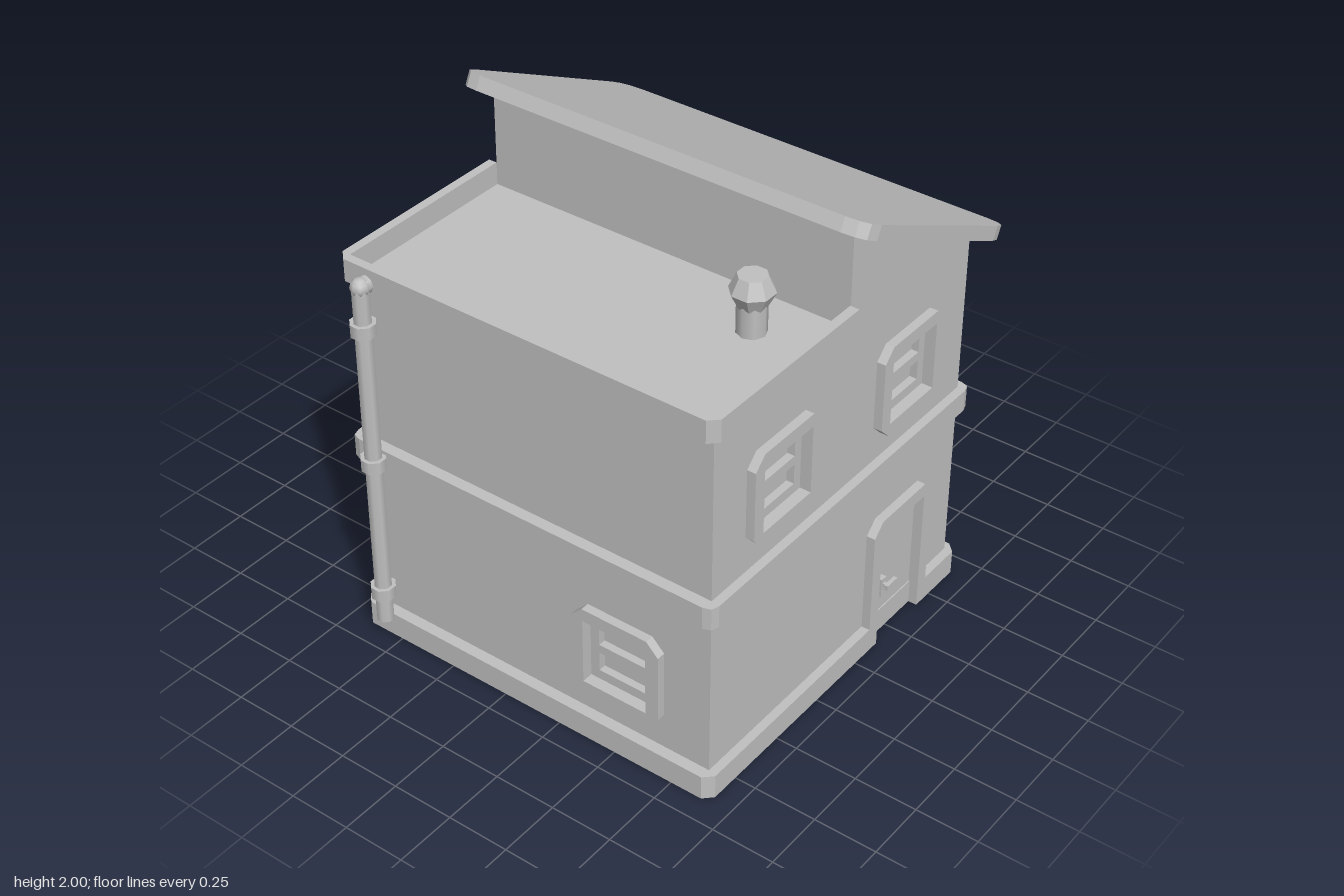
import * as THREE from 'three';

const stone = new THREE.MeshStandardMaterial({ color: 0xc0c0c0 });
stone.name = 'plain grey';

function add(parent, name, geometry, x = 0, y = 0, z = 0) {
  const mesh = new THREE.Mesh(geometry, stone);
  mesh.name = name;
  mesh.position.set(x, y, z);
  parent.add(mesh);
  return mesh;
}

const poly = (points) => new THREE.Shape(points.map(([x, y]) => new THREE.Vector2(x, y)));
const rect = (x0, x1, y0, y1) => poly([[x0, y0], [x1, y0], [x1, y1], [x0, y1]]);

// Rectangle with rounded corners
function rounded(x0, x1, y0, y1, r) {
  const s = new THREE.Shape();
  s.moveTo(x0 + r, y0);
  s.lineTo(x1 - r, y0).quadraticCurveTo(x1, y0, x1, y0 + r);
  s.lineTo(x1, y1 - r).quadraticCurveTo(x1, y1, x1 - r, y1);
  s.lineTo(x0 + r, y1).quadraticCurveTo(x0, y1, x0, y1 - r);
  s.lineTo(x0, y0 + r).quadraticCurveTo(x0, y0, x0 + r, y0);
  return s;
}

function extrude(shape, depth, holes = [], curveSegments = 2) {
  shape.holes.push(...holes);
  return new THREE.ExtrudeGeometry(shape, { depth, bevelEnabled: false, curveSegments });
}

// Horizontal slab: the shape is drawn in (x, -z)
const slab = (shape, height, holes, segs) => extrude(shape, height, holes, segs).rotateX(-Math.PI / 2);

const WIN = 0.1375, FRAME = 0.19, CX = [-0.485, 0.278];
const winHole = (x, y) => rect(x - WIN, x + WIN, y - WIN, y + WIN);
const doorHole = (x) => rect(x - WIN, x + WIN, 0.01, 0.52);

// Window facing +z, with its wall plane at z = 0
function makeWindow(name) {
  const g = new THREE.Group();
  g.name = name;
  const c = 0.05, f = FRAME;
  const outer = poly([[-f + c, -f], [f - c, -f], [f, -f + c], [f, f - c],
    [f - c, f], [-f + c, f], [-f, f - c], [-f, -f + c]]);
  add(g, 'windowFrame', extrude(outer, 0.035, [winHole(0, 0)]));
  const panes = [-0.058, 0.058].map((y) => rect(-0.1, 0.1, y - 0.04, y + 0.04));
  add(g, 'windowSash', extrude(winHole(0, 0), 0.03, panes), 0, 0, -0.04);
  return g;
}

// Door facing +z, standing on y = 0
function makeDoor(name, handleX, glazed) {
  const g = new THREE.Group();
  g.name = name;
  const f = FRAME, w = WIN, c = 0.05, top = 0.575;
  add(g, 'doorFrame', extrude(poly([[-f, 0], [-w, 0], [-w, 0.52], [w, 0.52], [w, 0],
    [f, 0], [f, top - c], [f - c, top], [-f + c, top], [-f, top - c]]), 0.035));
  const slot = glazed ? [rect(-0.05, 0.05, 0.1, 0.42)] : [];
  add(g, 'doorPanel', extrude(rect(-w, w, 0, 0.52), 0.035, slot), 0, 0, -0.04);
  const side = Math.sign(handleX);
  add(g, 'handlePlate', new THREE.BoxGeometry(0.03, 0.08, 0.025), handleX, 0.225, 0.005);
  add(g, 'handleLever', new THREE.BoxGeometry(0.065, 0.022, 0.016), handleX - side * 0.018, 0.237, 0.036);
  add(g, 'handleStem', new THREE.BoxGeometry(0.016, 0.016, 0.04), handleX, 0.237, 0.02);
  return g;
}

function place(parent, part, x, y, z, turn = 0) {
  part.position.set(x, y, z);
  part.rotation.y = turn;
  parent.add(part);
}

export function createModel() {
  const house = new THREE.Group();
  house.name = 'house';

  // Walls: a core with pierced outer skins on front, back and left
  const profile = (left) => poly([[left, 0], [0.66, 0], [0.66, 1.535], [-0.1, 1.915], [-0.1, 1.53], [left, 1.53]]);
  add(house, 'wallCore', extrude(profile(-0.82), 1.45), 0, 0, -0.61);
  const upper = CX.map((x) => winHole(x, 1.148));
  add(house, 'frontWall', extrude(profile(-0.86), 0.04, [...upper, doorHole(CX[1])]), 0, 0, 0.84);
  add(house, 'backWall', extrude(profile(-0.86), 0.04,
    [...upper, winHole(CX[1], 0.388), doorHole(CX[0])]), 0, 0, -0.65);
  const sideWall = extrude(rect(-0.61, 0.84, 0, 1.53), 0.04, [winHole(0.495, 0.388)]).rotateY(-Math.PI / 2);
  add(house, 'sideWall', sideWall, -0.82, 0, 0);

  // Windows and doors
  for (const x of CX) {
    place(house, makeWindow('frontWindow'), x, 1.148, 0.88);
    place(house, makeWindow('backWindow'), x, 1.148, -0.65, Math.PI);
  }
  place(house, makeWindow('lowerBackWindow'), CX[1], 0.388, -0.65, Math.PI);
  place(house, makeWindow('sideWindow'), -0.86, 0.388, 0.495, -Math.PI / 2);
  place(house, makeDoor('frontDoor', -0.08, false), CX[1], 0, 0.88);
  place(house, makeDoor('backDoor', 0.08, true), CX[0], 0, -0.65, Math.PI);

  // Plinth with a notch at each door
  const c = 0.035, [b, d] = CX, f = FRAME;
  add(house, 'plinth', slab(poly([
    [-0.905 + c, -0.915], [d - f, -0.915], [d - f, -0.88], [d + f, -0.88], [d + f, -0.915],
    [0.695 - c, -0.915], [0.695, -0.915 + c], [0.695, 0.685 - c], [0.695 - c, 0.685],
    [b + f, 0.685], [b + f, 0.65], [b - f, 0.65], [b - f, 0.685],
    [-0.905 + c, 0.685], [-0.905, 0.685 - c], [-0.905, -0.915 + c]]), 0.1));

  // Band between the floors
  add(house, 'floorBand', slab(rounded(-0.905, 0.695, -0.915, 0.685, 0.04), 0.09), 0, 0.77, 0);

  // Parapet around the flat roof, open towards the tall part
  add(house, 'parapet', slab(poly([
    [-0.1, -0.915], [-0.1, -0.878], [-0.87, -0.878], [-0.87, 0.65], [-0.1, 0.65], [-0.1, 0.685],
    [-0.905 + c, 0.685], [-0.905, 0.685 - c], [-0.905, -0.915 + c], [-0.905 + c, -0.915]]), 0.09), 0, 1.53, 0);

  // Sloping roof plate
  const roof = add(house, 'slopingRoof',
    slab(rounded(-0.521, 0.521, -0.858, 0.858, 0.09), 0.055, [], 3).translate(0, -0.0275, 0), 0.291, 1.742, 0.113);
  roof.rotation.z = -0.464;

  // Roof vent
  add(house, 'ventStem', new THREE.CylinderGeometry(0.055, 0.055, 0.13, 8), -0.31, 1.59, 0.63);
  const cap = [[0, 1.63], [0.05, 1.63], [0.083, 1.695], [0.055, 1.755], [0, 1.755]];
  const capGeo = new THREE.LatheGeometry(cap.map(([x, y]) => new THREE.Vector2(x, y)), 8).toNonIndexed();
  capGeo.computeVertexNormals();
  add(house, 'ventCap', capGeo.rotateY(Math.PI / 8), -0.31, 0, 0.63);

  // Drainpipe with brackets and a bend at the top
  const px = -0.935, pz = -0.55;
  add(house, 'drainpipe', new THREE.CylinderGeometry(0.034, 0.034, 1.46, 8).rotateY(Math.PI / 8), px, 0.83, pz);
  add(house, 'pipeBend', new THREE.SphereGeometry(0.037, 8, 6), px, 1.56, pz);
  add(house, 'pipeInlet', new THREE.CylinderGeometry(0.034, 0.034, 0.08, 8).rotateZ(Math.PI / 2), px + 0.04, 1.56, pz);
  for (const y of [0.235, 0.82, 1.395]) {
    add(house, 'pipeBracket', new THREE.CylinderGeometry(0.049, 0.049, 0.05, 8).rotateY(Math.PI / 8), px, y, pz);
  }

  // Garden bed wrapping the back corner
  const rim = rounded(-0.105, 0.98, -0.11, 0.975, 0.1);
  add(house, 'gardenRim', slab(rim, 0.1, [rounded(-0.07, 0.945, -0.075, 0.94, 0.08)]));
  add(house, 'gardenSoil', slab(rounded(-0.1, 0.975, -0.105, 0.97, 0.1), 0.07));

  // Bushes: x, z, radius, top height, sides, turn
  const bushes = [
    [0.13, -0.82, 0.145, 0.29, 6, 0.52], [0.41, -0.81, 0.16, 0.4, 6, 0.45],
    [0.765, -0.765, 0.135, 0.345, 5, 0.3], [0.82, -0.42, 0.125, 0.255, 5, 0.9],
    [0.82, -0.2, 0.135, 0.335, 5, 1.4],
  ];
  for (const [x, z, r, top, sides, turn] of bushes) {
    const h = top - 0.06;
    const pts = [[0, 0], [0.62, 0], [1, 0.5], [0.55, 1], [0, 1]]
      .map(([u, v]) => new THREE.Vector2(u * r, 0.06 + v * h));
    add(house, 'bush', new THREE.LatheGeometry(pts, sides), x, 0, z).rotation.y = turn;
  }
  return house;
}
